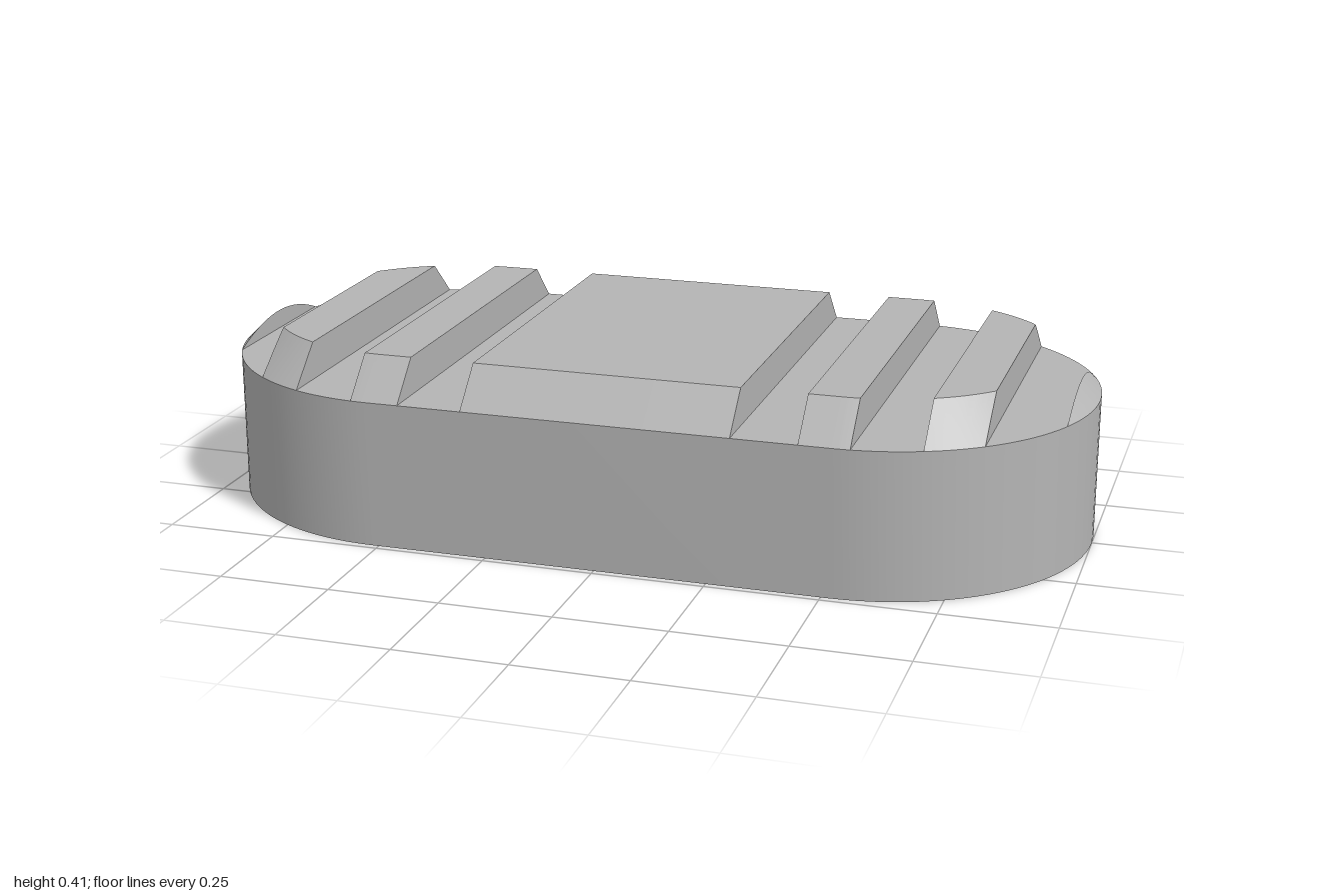
import * as THREE from 'three';
import { toCreasedNormals } from 'three/addons/utils/BufferGeometryUtils.js';

const C = 0.515;      // centre of each rounded end
const R = 0.485;      // end radius, also half the width
const DECK = 0.33;    // height of the groove floors
const RISE = 0.085;   // rib height, with a 45 degree chamfer
const HOLE = 0.2;     // half side of the square pocket underneath
const DEPTH = 0.23;

const quad = (out, a, b, c, d) => out.push(...a, ...b, ...c, ...a, ...c, ...d);

function toGeometry(out) {
  const g = new THREE.BufferGeometry();
  g.setAttribute('position', new THREE.Float32BufferAttribute(out, 3));
  return toCreasedNormals(g, 0.45);
}

// Half width at x of a rounded outline with the given radius
function halfWidth(x, r) {
  const u = Math.max(0, Math.abs(x) - C);
  return Math.sqrt(Math.max(0, r * r - u * u));
}

// Cross-section at x: chamfer, flat top, chamfer
function section(x, rise) {
  const steps = 10, side = [];
  const outer = halfWidth(x, R), inner = halfWidth(x, R - RISE);
  const u = Math.max(0, Math.abs(x) - C);
  for (let i = 0; i <= steps; i++) {
    const z = outer + (inner - outer) * i / steps;
    const y = DECK + Math.max(0, Math.min(rise, R - Math.hypot(u, z)));
    side.push([x, y, -z]);
  }
  return [...side, ...side.map(([px, y, z]) => [px, y, -z]).reverse()];
}

// Piece of the top between x0 and x1, closed by upright walls if raised
function strip(x0, x1, rise) {
  const out = [], n = 16, rows = [];
  for (let i = 0; i <= n; i++) {
    rows.push(section(x1 - (x1 - x0) * (1 - i / n) ** 2, rise));
  }
  for (let i = 0; i < n; i++) {
    for (let j = 0; j < rows[0].length - 1; j++) {
      quad(out, rows[i][j], rows[i][j + 1], rows[i + 1][j + 1], rows[i + 1][j]);
    }
  }
  if (rise > 0) {
    const base = ([x, , z]) => [x, DECK, z];
    const a = rows[0], b = rows[n];
    for (let j = 0; j < a.length - 1; j++) {
      quad(out, base(a[j]), base(a[j + 1]), a[j + 1], a[j]);
      quad(out, base(b[j + 1]), base(b[j]), b[j], b[j + 1]);
    }
  }
  return toGeometry(out);
}

// Upright wall around a closed loop of [x, z] points
function wall(loop, height, inward) {
  const out = [];
  loop.forEach(([x, z], i) => {
    const [x2, z2] = loop[(i + 1) % loop.length];
    const q = [[x, 0, z], [x, height, z], [x2, height, z2], [x2, 0, z2]];
    quad(out, ...(inward ? q.reverse() : q));
  });
  return toGeometry(out);
}

export function createModel() {
  const model = new THREE.Group();
  model.name = 'ribbedBlock';
  const grey = new THREE.MeshStandardMaterial({ color: 0xb4b4b4 });
  grey.name = 'grey';
  const add = (name, geometry, parent = model) => {
    const mesh = new THREE.Mesh(geometry, grey);
    mesh.name = name;
    parent.add(mesh);
    return mesh;
  };

  // Rounded outline, running from +z towards +x
  const outline = [];
  for (const s of [1, -1]) {
    for (let i = 0; i <= 48; i++) {
      const t = -Math.PI / 2 + Math.PI * i / 48;
      outline.push([s * (C + R * Math.cos(t)), s * R * Math.sin(t)]);
    }
  }
  const square = [[-HOLE, -HOLE], [HOLE, -HOLE], [HOLE, HOLE], [-HOLE, HOLE]];
  add('bodyWall', wall(outline, DECK, false));

  // Underside with the square pocket
  const toPoints = (loop) => loop.map(([x, z]) => new THREE.Vector2(x, z));
  const base = new THREE.Shape(toPoints(outline));
  base.holes.push(new THREE.Path(toPoints(square)));
  add('underside', new THREE.ShapeGeometry(base).rotateX(Math.PI / 2));
  add('pocketWall', wall(square, DEPTH, true));
  add('pocketCeiling', new THREE.PlaneGeometry(2 * HOLE, 2 * HOLE).rotateX(Math.PI / 2))
    .position.y = DEPTH;

  // Ribs and grooves: the centre pad, then the same pattern towards both ends
  add('centrePad', strip(-0.3, 0.3, RISE));
  const pieces = [
    ['innerGroove', 0.3, 0.445, 0],
    ['innerRib', 0.445, 0.555, RISE],
    ['middleGroove', 0.555, 0.7, 0],
    ['outerRib', 0.7, 0.815, RISE],
    ['outerGroove', 0.815, 0.957, 0],
    ['endLip', 0.957, 1, RISE],
  ];
  for (const [side, turn] of [['left', 0], ['right', Math.PI]]) {
    const half = new THREE.Group();
    half.name = side + 'Ribs';
    half.rotation.y = turn;
    for (const [name, x0, x1, rise] of pieces) add(name, strip(x0, x1, rise), half);
    model.add(half);
  }
  return model;
}
